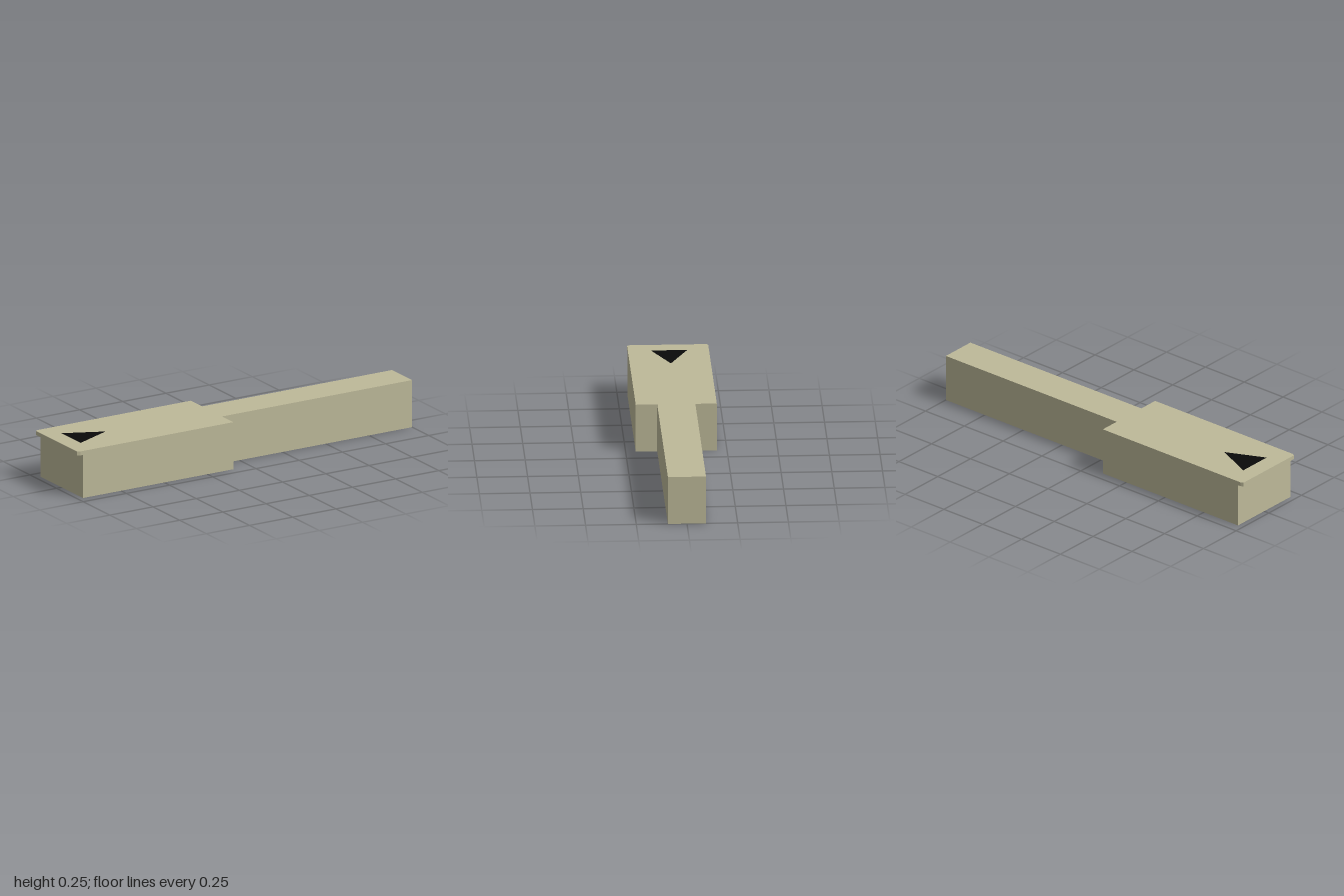
import * as THREE from 'three';

// Extrudes an outline of [x, z] points upward from y0 to y1
function slab(name, points, y0, y1, material) {
  const shape = new THREE.Shape(points.map(([x, z]) => new THREE.Vector2(x, -z)));
  const geometry = new THREE.ExtrudeGeometry(shape, { depth: y1 - y0, bevelEnabled: false });
  geometry.rotateX(-Math.PI / 2);
  geometry.translate(0, y0, 0);
  const mesh = new THREE.Mesh(geometry, material);
  mesh.name = name;
  return mesh;
}

export function createModel() {
  const group = new THREE.Group();
  group.name = 'steppedBlock';

  const beige = new THREE.MeshStandardMaterial({ color: 0xbdb999 });
  beige.name = 'beige';
  const black = new THREE.MeshStandardMaterial({ color: 0x0a0a0a });
  black.name = 'black';

  const height = 0.244, wide = 0.2, narrow = 0.094;
  const back = -0.97, step = -0.1, tip = 1;

  // Wide body and narrow tongue in one outline
  group.add(slab('body', [
    [back, wide], [step, wide], [step, narrow], [tip, narrow],
    [tip, -narrow], [step, -narrow], [step, -wide], [back, -wide],
  ], 0, height, beige));

  // Thin overhanging lip at the end, with clipped corners
  group.add(slab('lip', [
    [back, -wide], [-0.985, -wide], [-1, -0.194],
    [-1, 0.194], [-0.985, wide], [back, wide],
  ], 0.223, height, beige));

  // Painted arrow on top, pointing along the tongue
  group.add(slab('arrowMark', [
    [-0.913, -0.092], [-0.913, 0.085], [-0.717, -0.003],
  ], height - 0.002, height + 0.001, black));

  return group;
}
